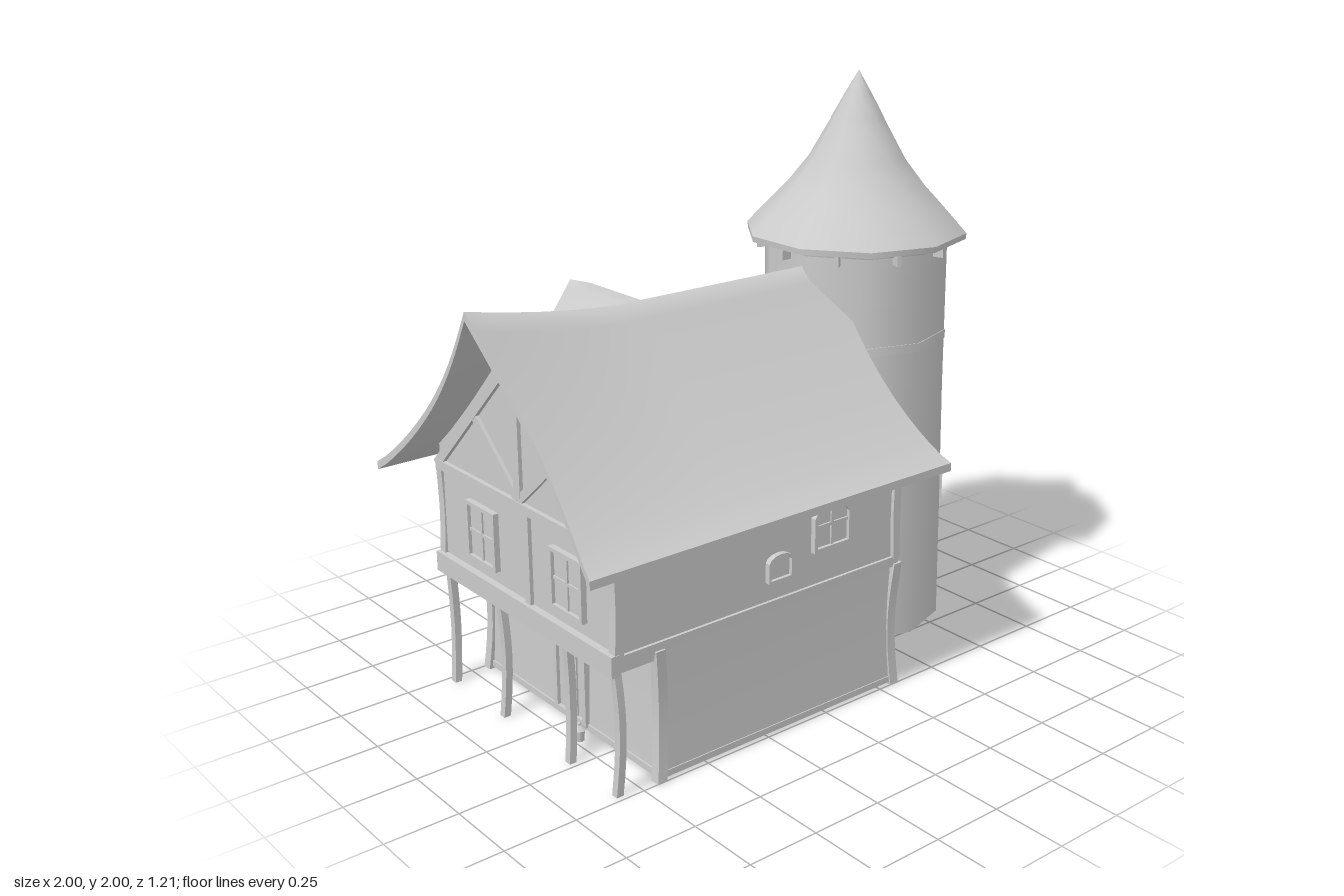
import * as THREE from 'three';

const mat = new THREE.MeshStandardMaterial({ color: 0xcccccc, side: THREE.DoubleSide });

export function createModel() {
  const root = new THREE.Group();
  root.name = 'cottageWithTower';

  const add = (name, geo, parent = root) => {
    const m = new THREE.Mesh(geo, mat);
    m.name = name;
    parent.add(m);
    return m;
  };
  const box = (name, w, h, d, x, y, z, rx = 0, parent = root) => {
    const m = add(name, new THREE.BoxGeometry(w, h, d), parent);
    m.position.set(x, y, z);
    m.rotation.x = rx;
    return m;
  };
  // Move every vertex of a geometry by a rule
  const deform = (geo, rule) => {
    const p = geo.attributes.position, v = new THREE.Vector3();
    for (let i = 0; i < p.count; i++) {
      rule(v.fromBufferAttribute(p, i));
      p.setXYZ(i, v.x, v.y, v.z);
    }
    geo.computeVertexNormals();
    return geo;
  };

  // ---------- Main roof: sagging ridge, flared eaves, curved gable edges ----------
  const under = z => 0.78 + 0.565 * Math.pow(Math.max(0, 1 - Math.abs(z) / 0.605), 1.2);
  add('mainRoof', deform(new THREE.BoxGeometry(1.44, 0.028, 1.21, 16, 1, 28), v => {
    const t = Math.min(1, Math.abs(v.z) / 0.605);
    v.x = -0.28 + v.x * (1 - 0.062 * Math.sin(Math.PI * t));
    const lift = 0.075 * Math.pow(Math.max(0, (-0.45 - v.x) / 0.55), 1.5);
    v.y += under(v.z) + 0.014 + lift * (1 - t);
  }));

  // ---------- Walls ----------
  add('lowerWalls', deform(new THREE.BoxGeometry(0.98, 0.44, 0.965, 1, 4, 1), v => {
    const flare = 1 + 0.02 * Math.pow(0.5 - v.y / 0.44, 2);
    v.x = -0.18 + v.x * flare;
    v.z *= flare;
    v.y += 0.23;
  }));
  const gable = new THREE.Shape();
  gable.moveTo(-0.485, 0.44);
  gable.lineTo(0.485, 0.44);
  for (let i = 0; i <= 12; i++) {
    const z = 0.485 - i * 0.97 / 12;
    gable.lineTo(z, under(z) + 0.005);
  }
  const upper = new THREE.ExtrudeGeometry(gable, { depth: 1.145, bevelEnabled: false });
  upper.rotateY(Math.PI / 2).translate(-0.835, 0, 0);
  add('upperWalls', upper);

  // ---------- Timber frame ----------
  const bentPost = (name, x, z, y0, h, w, bx, bz) => add(name,
    deform(new THREE.BoxGeometry(w, h, w, 1, 8, 1), v => {
      const k = Math.sin(Math.PI * (v.y / h + 0.5));
      v.x += x + bx * k;
      v.z += z + bz * k;
      v.y += y0 + h / 2;
    }));
  for (const s of [-1, 1]) {
    bentPost('lowerCornerPost', -0.68, s * 0.485, 0, 0.45, 0.035, 0.015, -s * 0.012);
    bentPost('lowerCornerPost', 0.315, s * 0.485, 0, 0.45, 0.035, -0.012, -s * 0.012);
    bentPost('upperCornerPost', 0.312, s * 0.482, 0.47, 0.33, 0.032, -0.006, 0);
    bentPost('upperCornerPost', -0.83, s * 0.482, 0.47, 0.33, 0.032, 0.006, 0);
    box('floorBeam', 1.16, 0.035, 0.02, -0.26, 0.458, s * 0.485);
    box('eaveBeam', 1.17, 0.03, 0.025, -0.26, 0.79, s * 0.487);
    box('baseBeam', 0.98, 0.022, 0.012, -0.18, 0.021, s * 0.489);
  }
  for (const [x, lo] of [[-0.838, -0.675], [0.315, 0.315]]) {
    box('gableTieBeam', 0.025, 0.032, 0.98, x, 0.8, 0);
    box('gableFloorBeam', 0.025, 0.035, 0.98, x, 0.46, 0);
    box('gableBaseBeam', 0.02, 0.022, 0.97, lo, 0.021, 0);
    box('kingPost', 0.02, 0.5, 0.035, x, 1.05, 0);
    box('gablePost', 0.02, 0.31, 0.03, x, 0.63, 0.04);
    for (const s of [-1, 1]) {
      box('gableBrace', 0.018, 0.32, 0.03, x, 0.93, s * 0.13, s * 0.85);
      box('rafter', 0.022, 0.68, 0.035, x, 1.035, s * 0.248, -s * 0.79);
    }
  }

  // ---------- Overhang on the left side ----------
  box('overhangFloor', 0.17, 0.03, 0.98, -0.76, 0.44, 0);
  box('overhangBeam', 0.03, 0.07, 1.0, -0.845, 0.45, 0);
  [-0.47, -0.16, 0.22, 0.47].forEach((z, i) => {
    bentPost('porchPost', -0.827, z, 0, 0.43, 0.025, 0.012, i % 2 ? 0.006 : -0.006);
    box('joist', 0.2, 0.03, 0.03, -0.755, 0.43, z);
  });

  // ---------- Windows and door ----------
  const outline = (S, w, h, arch) => {
    const s = new S(), a = arch ? w * 0.32 : 0;
    s.moveTo(-w / 2, -h / 2);
    s.lineTo(w / 2, -h / 2);
    s.lineTo(w / 2, h / 2 - a);
    if (arch) s.bezierCurveTo(w * 0.42, h / 2, -w * 0.42, h / 2, -w / 2, h / 2 - a);
    else s.lineTo(-w / 2, h / 2);
    s.closePath();
    return s;
  };
  const opening = (name, x, y, z, ry, w, h, { arch = true, cols = 2, rows = 2, sill = false, f = 0.013 } = {}) => {
    const g = new THREE.Group();
    g.name = name;
    g.position.set(x, y, z);
    g.rotation.y = ry;
    root.add(g);
    const frame = outline(THREE.Shape, w, h, arch);
    frame.holes.push(outline(THREE.Path, w - 2 * f, h - 2 * f, arch));
    const fg = new THREE.ExtrudeGeometry(frame, { depth: 0.03, bevelEnabled: false, curveSegments: 6 });
    add('frame', fg.translate(0, 0, -0.012), g);
    add('pane', new THREE.ShapeGeometry(outline(THREE.Shape, w - f, h - f, arch), 6).translate(0, 0, 0.006), g);
    for (let i = 1; i < cols; i++) box('mullion', 0.01, h - f, 0.012, (i / cols - 0.5) * w, -f / 4, 0.006, 0, g);
    for (let i = 1; i < rows; i++) box('glazingBar', w - f, 0.01, 0.012, 0, (i / rows - 0.5) * h, 0.006, 0, g);
    if (sill) {
      box('sill', w + 0.04, 0.014, 0.05, 0, -h / 2 + 0.005, 0.025, 0, g);
      for (const s of [-1, 1]) box('sillBracket', 0.012, 0.03, 0.025, s * w * 0.4, -h / 2 - 0.015, 0.012, 0, g);
    }
  };
  const B = Math.PI, L = -Math.PI / 2;
  opening('frontWindow', 0.015, 0.675, 0.486, 0, 0.16, 0.17);
  opening('frontSmallWindow', -0.205, 0.59, 0.486, 0, 0.1, 0.1, { cols: 1, rows: 1, f: 0.008 });
  opening('backUpperWindow', -0.18, 0.61, -0.486, B, 0.25, 0.17, { arch: false, cols: 3 });
  for (const x of [-0.37, 0]) opening('backLowerWindow', x, 0.315, -0.483, B, 0.12, 0.15, { sill: true });
  for (const z of [-0.22, 0.26]) opening('leftWindow', -0.837, 0.63, z, L, 0.17, 0.2, { arch: false });
  opening('door', -0.675, 0.19, 0.02, L, 0.18, 0.34, { cols: 3, rows: 1, f: 0.02 });

  // ---------- Dormer on the back slope ----------
  const dx = -0.253;
  const dUnder = x => 1.09 + 0.21 * Math.pow(Math.max(0, 1 - Math.abs(x) / 0.18), 1.25);
  add('dormerRoof', deform(new THREE.BoxGeometry(0.358, 0.022, 0.5, 20, 1, 4), v => {
    v.y += dUnder(v.x) + 0.011 - (v.z < -0.2 ? 0.012 : 0);
    v.x += dx;
    v.z -= 0.305;
  }));
  const face = new THREE.Shape();
  face.moveTo(-0.11, 0.86);
  face.lineTo(0.11, 0.86);
  for (let i = 0; i <= 8; i++) {
    const x = 0.11 - i * 0.0275;
    face.lineTo(x, dUnder(x) + 0.004);
  }
  add('dormerWalls', new THREE.ExtrudeGeometry(face, { depth: 0.3, bevelEnabled: false }).translate(dx, 0, -0.49));
  opening('dormerWindow', dx, 1.07, -0.491, B, 0.1, 0.15);

  // ---------- Round tower: ten sides ----------
  const tower = new THREE.Group();
  tower.name = 'tower';
  tower.position.set(0.625, 0, -0.065);
  root.add(tower);
  const lathe = (name, pts) => add(name,
    new THREE.LatheGeometry(pts.map(p => new THREE.Vector2(p[0], p[1])), 10), tower);
  lathe('towerWall', [[0.34, 0.01], [0.335, 0.4], [0.327, 0.9], [0.324, 1.44]]);
  const base = add('towerBase', new THREE.CircleGeometry(0.34, 10).rotateX(Math.PI / 2), tower);
  base.rotation.y = Math.PI / 2;
  base.position.y = 0.01;
  add('towerBelt', new THREE.CylinderGeometry(0.329, 0.33, 0.03, 10), tower).position.y = 1.087;
  lathe('spireRoof', [[0.39, 1.452], [0.335, 1.512], [0.245, 1.605], [0.17, 1.7], [0.09, 1.84]]);
  lathe('spireCap', [[0.094, 1.836], [0.047, 1.92], [0.0, 2.0]]);
  add('spireRim', new THREE.CylinderGeometry(0.39, 0.388, 0.02, 10), tower).position.y = 1.442;
  add('spireCollar', new THREE.CylinderGeometry(0.34, 0.335, 0.02, 10), tower).position.y = 1.425;
  for (let i = 0; i < 10; i++) {
    const a = (i + 0.5) * Math.PI / 5;
    const peg = box('eavePeg', 0.016, 0.045, 0.05, Math.sin(a) * 0.32, 1.41, Math.cos(a) * 0.32, 0, tower);
    peg.rotation.y = a;
  }
  // Tower windows: angle from +z, distance from the axis, sideways shift
  const towerWindow = (deg, r, side, y, w, h, o) => {
    const a = deg * Math.PI / 180;
    opening('towerWindow', 0.625 + Math.sin(a) * r + Math.cos(a) * side, y,
      -0.065 + Math.cos(a) * r - Math.sin(a) * side, a, w, h, o);
  };
  const small = { cols: 1, rows: 1, f: 0.012 };
  towerWindow(162, 0.31, 0, 1.245, 0.14, 0.23, { rows: 3 });
  towerWindow(90, 0.309, 0.08, 0.92, 0.085, 0.115, small);
  towerWindow(47, 0.32, 0, 0.51, 0.08, 0.12, small);
  towerWindow(183, 0.327, 0, 0.355, 0.08, 0.115, small);

  // ---------- Lantern under the overhang ----------
  const lantern = new THREE.Group();
  lantern.name = 'lantern';
  lantern.position.set(-0.745, 0, 0.15);
  root.add(lantern);
  add('lanternBody', new THREE.CylinderGeometry(0.018, 0.015, 0.04, 8), lantern).position.y = 0.036;
  add('lanternCap', new THREE.CylinderGeometry(0.008, 0.024, 0.014, 8), lantern).position.y = 0.063;
  add('lanternKnob', new THREE.SphereGeometry(0.007, 8, 6), lantern).position.y = 0.075;

  return root;
}
